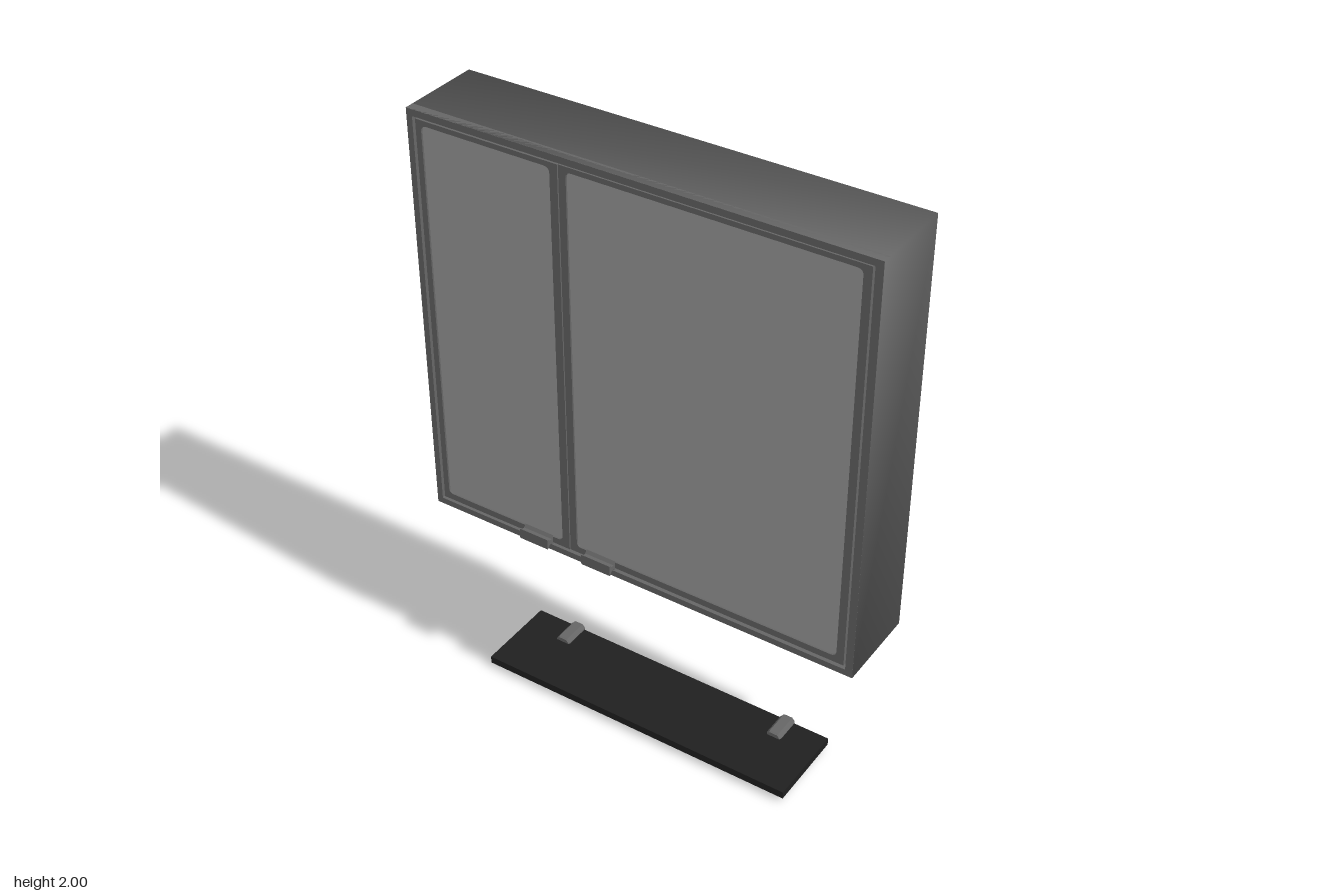
import * as THREE from 'three';
import { mergeVertices } from 'three/addons/utils/BufferGeometryUtils.js';

const mat = (name, color, side = THREE.FrontSide) =>
  Object.assign(new THREE.MeshStandardMaterial({ color, side }), { name });

// Rounded rectangle traced into a Shape or Path
function rect(path, x0, x1, y0, y1, r) {
  path.moveTo(x0 + r, y0).lineTo(x1 - r, y0);
  path.quadraticCurveTo(x1, y0, x1, y0 + r).lineTo(x1, y1 - r);
  path.quadraticCurveTo(x1, y1, x1 - r, y1).lineTo(x0 + r, y1);
  path.quadraticCurveTo(x0, y1, x0, y1 - r).lineTo(x0, y0 + r);
  path.quadraticCurveTo(x0, y0, x0 + r, y0);
  return path;
}

export function createModel() {
  const group = new THREE.Group();
  const steel = mat('grey steel', 0x666666);
  const dark = mat('dark gap', 0x2a2a2a);
  const glass = mat('grey glass', 0x9c9c9c);
  const shelfBlack = mat('black shelf', 0x202020);

  const add = (name, geometry, material, x = 0, y = 0, z = 0) => {
    const mesh = new THREE.Mesh(geometry, material);
    mesh.name = name;
    mesh.position.set(x, y, z);
    group.add(mesh);
    return mesh;
  };
  // Flat ring between an outer [x0,x1,y0,y1] and an inner rectangle
  const ring = (name, outer, inner, radius, z0, z1) => {
    const shape = rect(new THREE.Shape(), ...outer, 0.0005);
    shape.holes.push(rect(new THREE.Path(), ...inner, radius));
    add(name, new THREE.ExtrudeGeometry(shape,
      { depth: z1 - z0, bevelEnabled: false, curveSegments: 4 }), steel, 0, 0, z0);
  };

  // Cabinet body: open-fronted box with softly shared normals
  let body = new THREE.BoxGeometry(1.496, 1.376, 0.284);
  body.deleteAttribute('normal');
  body.deleteAttribute('uv');
  body = mergeVertices(body);
  const faces = Array.from(body.index.array);
  faces.splice(24, 6);
  body.setIndex(faces);
  body.clearGroups();
  body.computeVertexNormals();
  add('cabinetBody', body, steel, 0, 1.312, -0.013);

  // Front rim and the dark gap behind the doors
  ring('frontRim', [-0.748, 0.748, 0.624, 2], [-0.728, 0.724, 0.645, 1.979], 0.003, 0.1, 0.1295);
  add('doorGap', new THREE.BoxGeometry(1.47, 1.35, 0.01), dark, 0, 1.312, 0.1);

  // Two framed doors with glass panels
  const doors = [
    { side: 'right', outer: [-0.721, -0.238], inner: [-0.702, -0.264], z: 0.126 },
    { side: 'left', outer: [-0.236, 0.715], inner: [-0.212, 0.69], z: 0.124 },
  ];
  for (const { side, outer, inner, z } of doors) {
    ring(side + 'DoorFrame', [...outer, 0.652, 1.972], [...inner, 0.674, 1.956], 0.018, 0.1, z);
    const [a, b] = inner;
    add(side + 'DoorGlass', new THREE.BoxGeometry(b - a + 0.006, 1.288, 0.008), glass,
      (a + b) / 2, 1.315, z - 0.01);
  }

  // Finger pulls: waisted section run along x
  const section = new THREE.Shape([
    [0, -0.018], [0.008, -0.008], [0.018, -0.008], [0.026, -0.018],
    [0.03, -0.018], [0.03, 0.018], [0.026, 0.018], [0.018, 0.008], [0.008, 0.008], [0, 0.018],
  ].map(([x, y]) => new THREE.Vector2(x, y)));
  for (const x of [-0.353, -0.123]) {
    const geo = new THREE.ExtrudeGeometry(section, { depth: 0.104, bevelEnabled: false });
    geo.translate(0, 0, -0.052).rotateY(-Math.PI / 2);
    add('doorPull', geo, steel, x, 0.661, 0.125);
  }

  // Loose shelf under the cabinet
  add('shelf', new THREE.BoxGeometry(1.12, 0.026, 0.28), shelfBlack, -0.015, 0.032, -0.011);

  // Octagonal shelf clips at the back edge
  const clip = new THREE.Shape([
    [-0.014, -0.027], [0.014, -0.027], [0.023, -0.016], [0.023, 0.016],
    [0.014, 0.027], [-0.014, 0.027], [-0.023, 0.016], [-0.023, -0.016],
  ].map(([x, y]) => new THREE.Vector2(x, y)));
  const clipGeo = new THREE.ExtrudeGeometry(clip,
    { depth: 0.084, bevelSize: 0.003, bevelThickness: 0.006, bevelSegments: 1 });
  for (const x of [-0.42, 0.396]) add('shelfClip', clipGeo, steel, x, 0.031, -0.152);

  return group;
}
